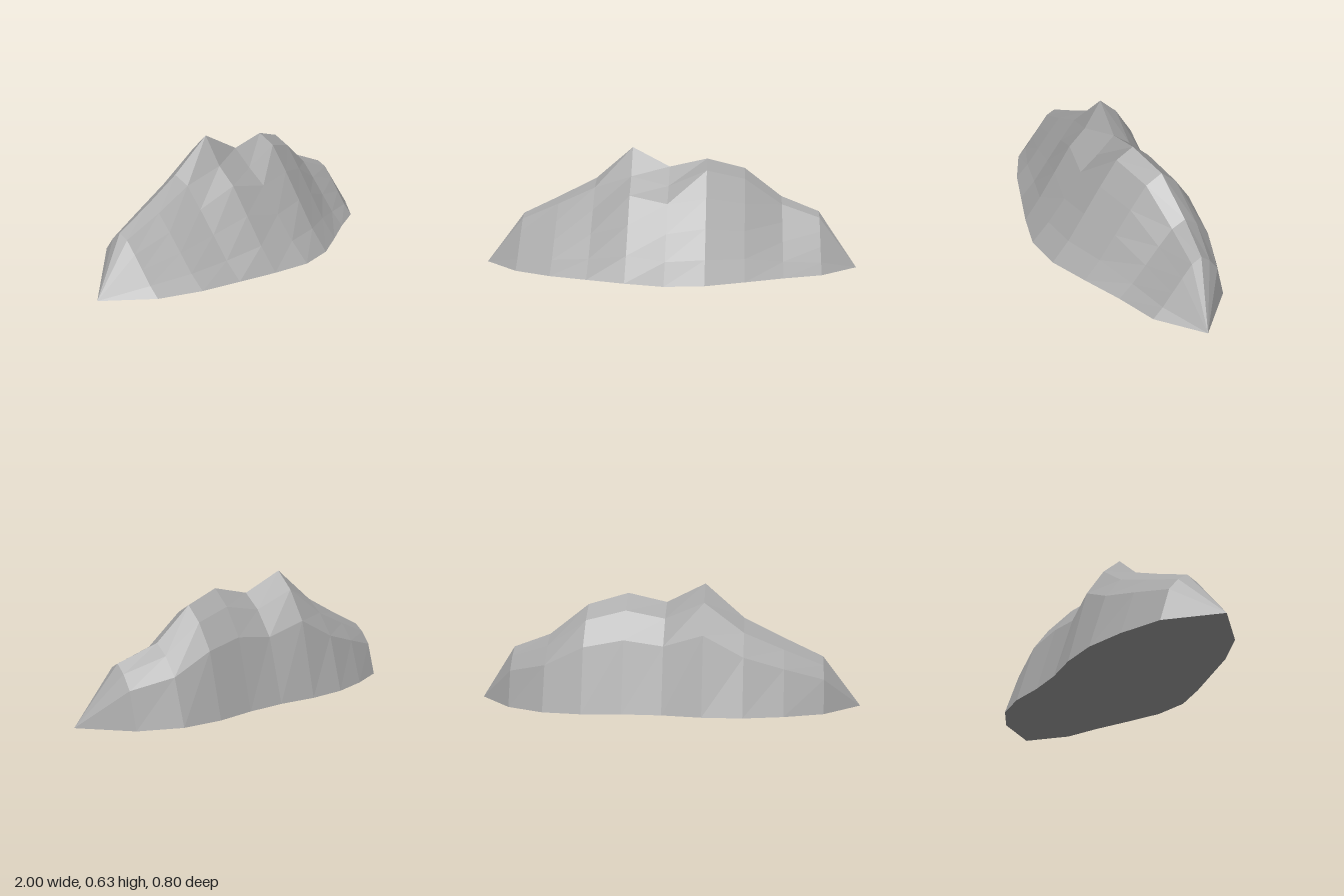
import * as THREE from 'three';

// Cross-sections along x: [x, front base z, ridge z, ridge y, back base z]
const SECTIONS = [
  [-1.0, -0.06, -0.06, 0, -0.06],
  [-0.8, 0.135, -0.115, 0.265, -0.265],
  [-0.6, 0.23, -0.125, 0.36, -0.345],
  [-0.4, 0.29, -0.14, 0.46, -0.395],
  [-0.2, 0.35, -0.115, 0.63, -0.4],
  [0.0, 0.395, -0.09, 0.53, -0.375],
  [0.2, 0.37, -0.09, 0.575, -0.375],
  [0.4, 0.285, -0.14, 0.52, -0.395],
  [0.6, 0.195, -0.16, 0.365, -0.375],
  [0.8, 0.12, -0.13, 0.29, -0.28],
  [1.0, -0.06, -0.06, 0, -0.06],
];
// Height fractions of the ridge, from the foot up the front and down the back
const FRONT = [0, 0.19, 0.435, 0.68, 0.91];
const BACK = [1, 0.86, 0.62, 0];
// Softer shoulders under the peak and the saddle
const SHOULDER = { 4: [0, 0.19, 0.41, 0.63, 0.77], 5: [0, 0.19, 0.42, 0.68, 0.83] };

function sectionRing([x, zFront, zRidge, height, zBack], index) {
  const ring = [];
  const front = SHOULDER[index] || FRONT;
  front.forEach((f, i) => {
    ring.push(new THREE.Vector3(x, height * f, THREE.MathUtils.lerp(zFront, zRidge, i / front.length)));
  });
  BACK.forEach((f, i) => {
    ring.push(new THREE.Vector3(x, height * f, THREE.MathUtils.lerp(zRidge, zBack, i / (BACK.length - 1))));
  });
  return ring;
}

function rockGeometry() {
  const rings = SECTIONS.map(sectionRing);
  const positions = [];
  const triangle = new THREE.Triangle();
  const add = (a, b, c) => {
    // The pointed ends collapse some triangles; leave those out
    if (triangle.set(a, b, c).getArea() < 1e-6) return;
    for (const p of [a, b, c]) positions.push(p.x, p.y, p.z);
  };
  for (let j = 0; j < rings.length - 1; j++) {
    const count = rings[j].length;
    for (let i = 0; i < count; i++) {
      const k = (i + 1) % count; // the last strip closes the flat underside
      const a = rings[j][i], b = rings[j + 1][i], c = rings[j + 1][k], d = rings[j][k];
      add(a, b, c);
      add(a, c, d);
    }
  }
  const geometry = new THREE.BufferGeometry();
  geometry.setAttribute('position', new THREE.Float32BufferAttribute(positions, 3));
  geometry.computeVertexNormals();
  return geometry;
}

export function createModel() {
  const group = new THREE.Group();
  group.name = 'rockRidge';
  const stone = new THREE.MeshStandardMaterial({ color: 0xa6a6a6, flatShading: true });
  stone.name = 'grey stone';
  const rock = new THREE.Mesh(rockGeometry(), stone);
  rock.name = 'rock';
  group.add(rock);
  return group;
}
